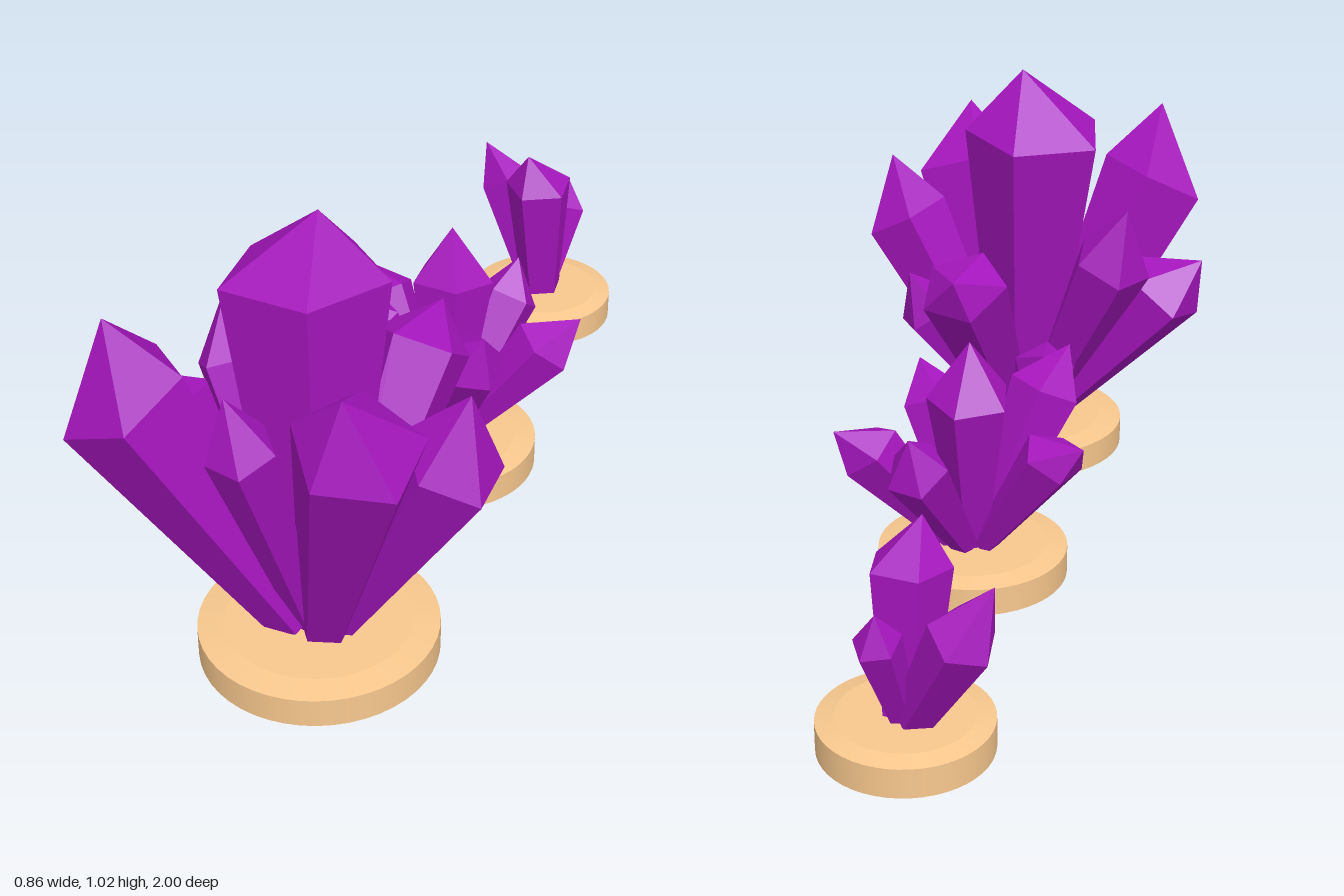
import * as THREE from 'three';

const SIDES = 5;
const BASE_X = 0.026;
const crystalMat = new THREE.MeshStandardMaterial({ color: 0xa616be, flatShading: true });
const woodMat = new THREE.MeshStandardMaterial({ color: 0xf8c88e });

// Ring of points around a centre, square to the given axis
function ring(center, axis, radius, spin) {
  const u = new THREE.Vector3(1, 0, 0).addScaledVector(axis, -axis.x).normalize();
  const v = new THREE.Vector3().crossVectors(u, axis);
  return Array.from({ length: SIDES }, (_, i) => {
    const a = THREE.MathUtils.degToRad(spin) + (i / SIDES) * Math.PI * 2;
    return center.clone()
      .addScaledVector(u, Math.cos(a) * radius)
      .addScaledVector(v, Math.sin(a) * radius);
  });
}

// Five-sided crystal: narrow foot, wide shoulder, pointed tip
function crystal(foot, shoulder, tip, footRadius, radius, spin) {
  const axis = shoulder.clone().sub(foot).normalize();
  const low = ring(foot, axis, footRadius, spin);
  const high = ring(shoulder, axis, radius, spin);
  const points = [];
  for (let i = 0; i < SIDES; i++) {
    const j = (i + 1) % SIDES;
    points.push(low[i], high[i], high[j], low[i], high[j], low[j]); // side
    points.push(high[i], tip, high[j]); // point
    points.push(foot, low[i], low[j]); // underside
  }
  const geometry = new THREE.BufferGeometry().setFromPoints(points);
  geometry.computeVertexNormals();
  return new THREE.Mesh(geometry, crystalMat);
}

// Round wooden stand with a shallow bevel on top
function stand(radius) {
  const group = new THREE.Group();
  group.name = 'stand';
  const disc = new THREE.Mesh(new THREE.CylinderGeometry(radius, radius, 0.066, 48), woodMat);
  disc.name = 'standDisc';
  disc.position.y = 0.033;
  const bevel = new THREE.Mesh(new THREE.CylinderGeometry(radius * 0.78, radius, 0.009, 48), woodMat);
  bevel.name = 'standTop';
  bevel.position.y = 0.0705;
  group.add(disc, bevel);
  return group;
}

// Stand with crystals fanning out from its middle; taper is foot radius over shoulder radius
function cluster(name, z, radius, taper, crystals) {
  const group = new THREE.Group();
  group.name = name;
  const base = stand(radius);
  base.position.set(BASE_X, 0, z);
  group.add(base);
  for (const [label, s, t, r, spin] of crystals) {
    const shoulder = new THREE.Vector3(...s);
    // Each foot sits a little toward its own crystal
    const foot = new THREE.Vector3(BASE_X, 0.08, z).lerp(new THREE.Vector3(s[0], 0.08, s[2]), 0.15);
    const mesh = crystal(foot, shoulder, new THREE.Vector3(...t), r * taper, r, spin);
    mesh.name = label;
    group.add(mesh);
  }
  return group;
}

export function createModel() {
  const model = new THREE.Group();
  model.name = 'crystalClusters';

  // Each crystal: name, shoulder centre, tip, shoulder radius, spin in degrees
  model.add(cluster('largeCluster', 0.66, 0.258, 0.42, [
    ['centreCrystal', [-0.015, 0.865, 0.59], [0.023, 1.02, 0.6], 0.178, -8],
    ['frontRightCrystal', [-0.285, 0.68, 0.86], [-0.297, 0.87, 0.89], 0.14, -15],
    ['frontLeftCrystal', [0.215, 0.69, 0.87], [0.216, 0.84, 0.94], 0.137, 36],
    ['leftCrystal', [0.345, 0.59, 0.71], [0.38, 0.75, 0.71], 0.112, 36],
    ['frontCrystal', [-0.027, 0.625, 0.875], [-0.05, 0.75, 0.89], 0.074, -4],
    ['rightCrystal', [-0.34, 0.47, 0.595], [-0.435, 0.55, 0.6], 0.11, 30],
    ['backCrystal', [0.115, 0.56, 0.285], [0.12, 0.61, 0.18], 0.11, 36],
    ['backLeftCrystal', [0.255, 0.4, 0.535], [0.29, 0.515, 0.48], 0.08, 0],
    ['lowBackCrystal', [-0.075, 0.33, 0.345], [-0.085, 0.4, 0.27], 0.078, 18],
    ['backRightCrystal', [-0.22, 0.57, 0.49], [-0.26, 0.72, 0.45], 0.1, 36],
  ]));

  model.add(cluster('mediumCluster', -0.078, 0.22, 0.42, [
    ['centreCrystal', [0.02, 0.465, -0.14], [0.02, 0.6, -0.14], 0.098, -8],
    ['frontRightCrystal', [-0.125, 0.42, 0.045], [-0.17, 0.51, 0.1], 0.086, -15],
    ['frontLeftCrystal', [0.135, 0.37, 0.05], [0.18, 0.46, 0.08], 0.085, 36],
    ['leftCrystal', [0.25, 0.325, -0.155], [0.32, 0.385, -0.2], 0.078, 20],
    ['rightCrystal', [-0.175, 0.36, -0.195], [-0.25, 0.405, -0.24], 0.073, 30],
    ['backCrystal', [0.11, 0.35, -0.295], [0.12, 0.44, -0.33], 0.074, 36],
  ]));

  model.add(cluster('smallCluster', -0.815, 0.183, 0.62, [
    ['centreCrystal', [0.02, 0.395, -0.785], [0, 0.49, -0.75], 0.088, 30],
    ['backRightCrystal', [-0.11, 0.32, -0.915], [-0.17, 0.43, -0.905], 0.073, 0],
    ['backLeftCrystal', [0.06, 0.285, -0.905], [0.06, 0.355, -0.92], 0.052, 10],
  ]));

  return model;
}
